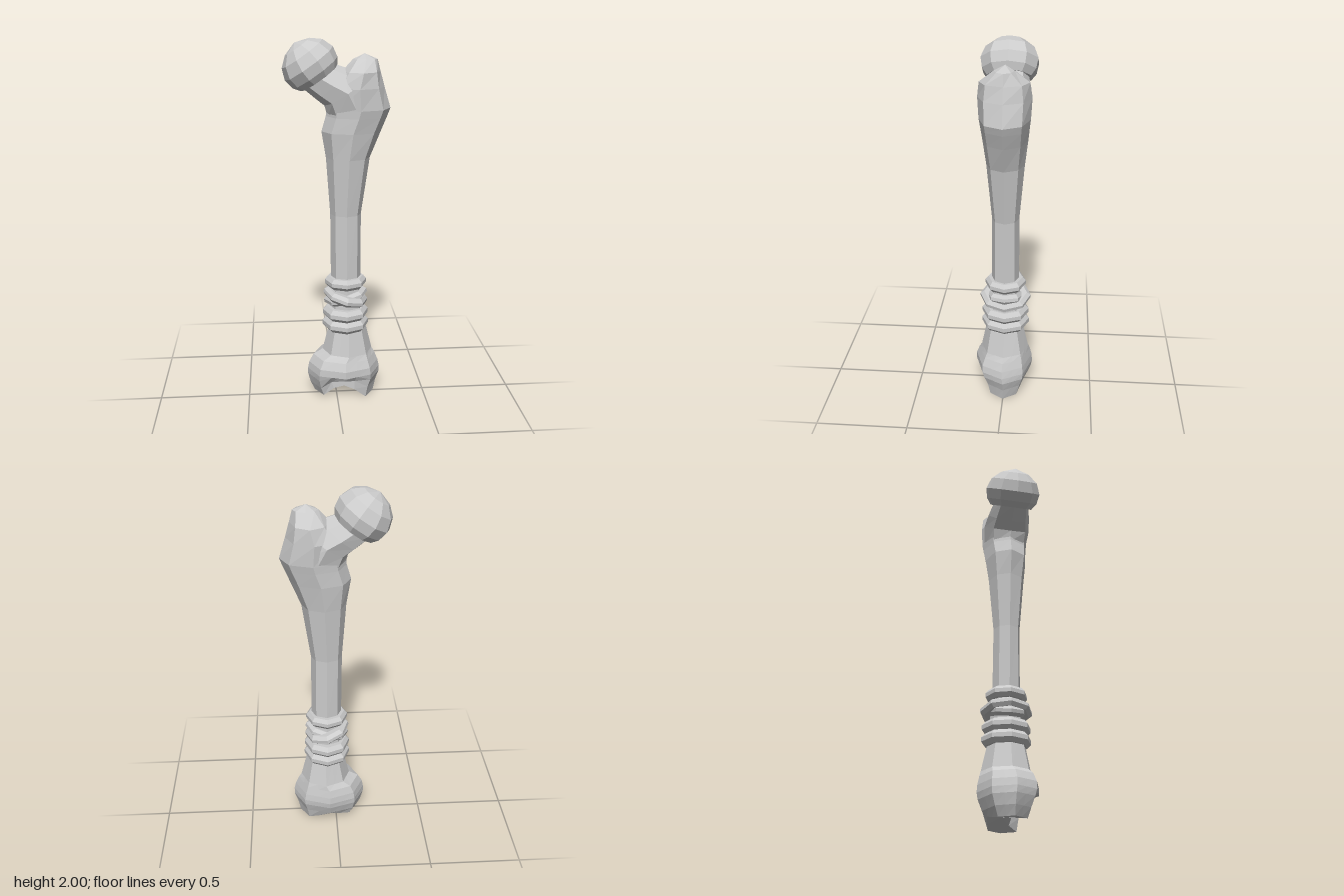
import * as THREE from 'three';

// One cross-section: an ellipse round (cx, cy, cz), tilted about z
function ring(cx, cy, cz, rx, rz, tilt = 0, n = 8) {
  const pts = [];
  for (let i = 0; i < n; i++) {
    const a = (i / n) * Math.PI * 2;
    const u = rx * Math.cos(a);
    pts.push(new THREE.Vector3(cx + u * Math.cos(tilt), cy + u * Math.sin(tilt), cz + rz * Math.sin(a)));
  }
  return pts;
}

// Skins the rings from bottom to top and closes both ends
function loft(name, rings, bottom, top) {
  const pos = [];
  const tri = (...p) => p.forEach((v) => pos.push(v.x, v.y, v.z));
  const mid = (r) => r.reduce((s, p) => s.add(p), new THREE.Vector3()).divideScalar(r.length);
  const first = rings[0], last = rings[rings.length - 1], n = first.length;
  const b = bottom || mid(first), t = top || mid(last);
  for (let i = 0; i < n; i++) {
    const j = (i + 1) % n;
    for (let k = 0; k < rings.length - 1; k++) {
      const lo = rings[k], up = rings[k + 1];
      tri(lo[i], up[i], lo[j]);
      tri(up[i], up[j], lo[j]);
    }
    tri(b, first[i], first[j]);
    tri(t, last[j], last[i]);
  }
  const geo = new THREE.BufferGeometry();
  geo.setAttribute('position', new THREE.Float32BufferAttribute(pos, 3));
  geo.computeVertexNormals();
  const mesh = new THREE.Mesh(geo, new THREE.MeshStandardMaterial({ color: 0xcccccc, flatShading: true }));
  mesh.name = name;
  return mesh;
}

// Shaft widening into the upper outer knob: [y, xMin, xMax, zRadius]
function shaft() {
  const rows = [
    [0.36, -0.045, 0.165, 0.1], [0.7, -0.03, 0.135, 0.075], [1.07, -0.033, 0.133, 0.073],
    [1.38, -0.055, 0.178, 0.1], [1.52, -0.078, 0.235, 0.117], [1.6, -0.055, 0.268, 0.125],
    [1.64, -0.05, 0.283, 0.13], [1.75, -0.03, 0.25, 0.136], [1.83, 0.03, 0.228, 0.125],
    [1.89, 0.085, 0.212, 0.05],
  ];
  const rings = rows.map(([y, a, b, rz]) => ring((a + b) / 2, y, -0.005, (b - a) / 2, rz));
  return loft('shaft', rings, null, new THREE.Vector3(0.145, 1.918, -0.01));
}

// Neck bending from the shaft to the ball
function neck() {
  return loft('neck', [
    ring(0.1, 1.63, -0.005, 0.15, 0.12, 0.25),
    ring(0.05, 1.73, -0.005, 0.135, 0.132, 0.6),
    ring(-0.02, 1.765, -0.008, 0.115, 0.12, 0.72),
    ring(-0.1, 1.81, -0.01, 0.1, 0.1, 0.65),
  ]);
}

// Ball joint, faceted round a leaning axis: [distance along axis, radius]
function ball() {
  const tilt = 0.61, dx = -Math.sin(tilt), dy = Math.cos(tilt);
  const at = (d) => [-0.14 + dx * d, 1.868 + dy * d, -0.012];
  const rows = [[-0.09, 0.115], [-0.055, 0.14], [0.0, 0.15], [0.06, 0.127], [0.103, 0.076]];
  const rings = rows.map(([d, r]) => ring(...at(d), r, r * 1.03, tilt, 10));
  return loft('ballJoint', rings, new THREE.Vector3(...at(-0.08)), new THREE.Vector3(...at(0.128)));
}

// Lower knuckles with an arched hollow in front: [y, xMin, xMax, zFront, zBack]
function knuckles() {
  const rows = [
    [0.045, -0.125, 0.21, 0.105, -0.105], [0.07, -0.148, 0.225, 0.125, -0.13],
    [0.125, -0.163, 0.244, 0.15, -0.152], [0.16, -0.163, 0.244, 0.163, -0.158],
    [0.2, -0.155, 0.235, 0.163, -0.155], [0.245, -0.13, 0.217, 0.145, -0.145],
    [0.275, -0.078, 0.2, 0.13, -0.135], [0.41, -0.045, 0.167, 0.102, -0.105],
  ];
  const rings = rows.map(([y, a, b, f, k], row) => {
    const pts = ring((a + b) / 2, y, (f + k) / 2, (b - a) / 2, (f - k) / 2, 0, 16);
    // every second corner lies on the edge of an octagon
    for (let i = 1; i < 16; i += 2) pts[i].lerpVectors(pts[i - 1], pts[(i + 1) % 16], 0.5);
    pts.forEach((p, i) => {
      const c = Math.cos((i / 16) * Math.PI * 2);
      if (row === 0) p.y -= Math.min(1, Math.abs(c) / 0.65) * (c > 0 ? 0.045 : 0.025);
      if (row < 3 && i >= 3 && i <= 5) {
        p.z = row === 2 ? 0.05 : 0.02;
        if (row === 2 && i !== 4) p.y -= 0.012;
      }
    });
    return pts;
  });
  return loft('knuckles', rings, new THREE.Vector3(0.04, 0.045, -0.03));
}

// Grip band with a pointed outer edge
function band(y, rx, rz, tilt, h) {
  const rows = [[-h, 0.85], [-h * 0.35, 1], [h * 0.35, 1], [h, 0.85]];
  return loft('gripBand', rows.map(([d, s]) =>
    ring(0.051 - Math.sin(tilt) * d, y + Math.cos(tilt) * d, -0.005, rx * s, rz * s, tilt)));
}

export function createModel() {
  const group = new THREE.Group();
  group.name = 'boneClub';
  group.add(shaft(), neck(), ball(), knuckles());

  // level bands, then two crossing ones
  const grip = new THREE.Group();
  grip.name = 'grip';
  grip.add(
    band(0.685, 0.115, 0.112, 0, 0.03),
    band(0.505, 0.126, 0.13, 0, 0.033),
    band(0.44, 0.128, 0.132, 0, 0.033),
    band(0.597, 0.125, 0.14, -0.26, 0.026),
    band(0.597, 0.122, 0.105, 0.24, 0.026),
  );
  group.add(grip);
  return group;
}
